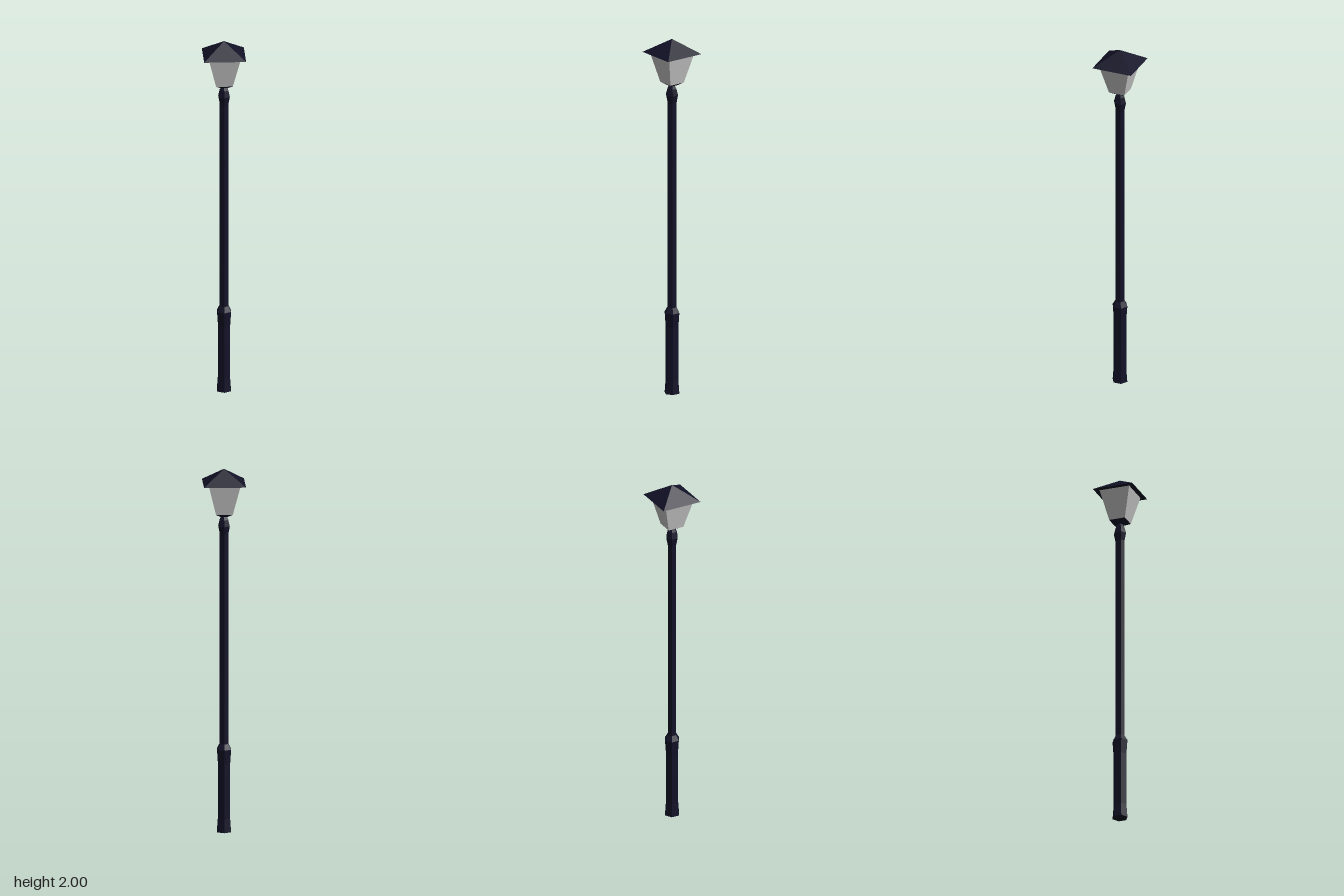
import * as THREE from 'three';

const metal = new THREE.MeshStandardMaterial({ color: 0x121228, flatShading: true });
const glass = new THREE.MeshStandardMaterial({ color: 0xcccccc, flatShading: true });

// Square frustum from half-widths, sides facing the axes
function squareFrustum(name, topHalf, bottomHalf, y0, y1, material) {
  const geo = new THREE.CylinderGeometry(topHalf * Math.SQRT2, bottomHalf * Math.SQRT2, y1 - y0, 4);
  geo.rotateY(Math.PI / 4);
  geo.translate(0, (y0 + y1) / 2, 0);
  const mesh = new THREE.Mesh(geo, material);
  mesh.name = name;
  return mesh;
}

// Six-sided turned section from [radius, height] pairs
function hexSection(name, points) {
  const profile = points.map(([r, y]) => new THREE.Vector2(r, y));
  const mesh = new THREE.Mesh(new THREE.LatheGeometry(profile, 6), metal);
  mesh.name = name;
  return mesh;
}

export function createModel() {
  const group = new THREE.Group();
  group.name = 'streetLamp';

  // Post: flared base, slim shaft, knob under the lantern
  group.add(hexSection('base', [
    [0, 0], [0.043, 0], [0.037, 0.075], [0.037, 0.375], [0.043, 0.455], [0.026, 0.485],
  ]));
  group.add(hexSection('shaft', [[0.026, 0.485], [0.026, 1.64]]));
  group.add(hexSection('knob', [
    [0.026, 1.64], [0.035, 1.685], [0.026, 1.72], [0.015, 1.74], [0.015, 1.75],
  ]));

  // Lantern
  group.add(squareFrustum('lanternFloor', 0.045, 0.018, 1.738, 1.755, metal));
  group.add(squareFrustum('lanternGlass', 0.085, 0.045, 1.755, 1.92, glass));
  group.add(squareFrustum('roof', 0, 0.113, 1.92, 2, metal));

  return group;
}
